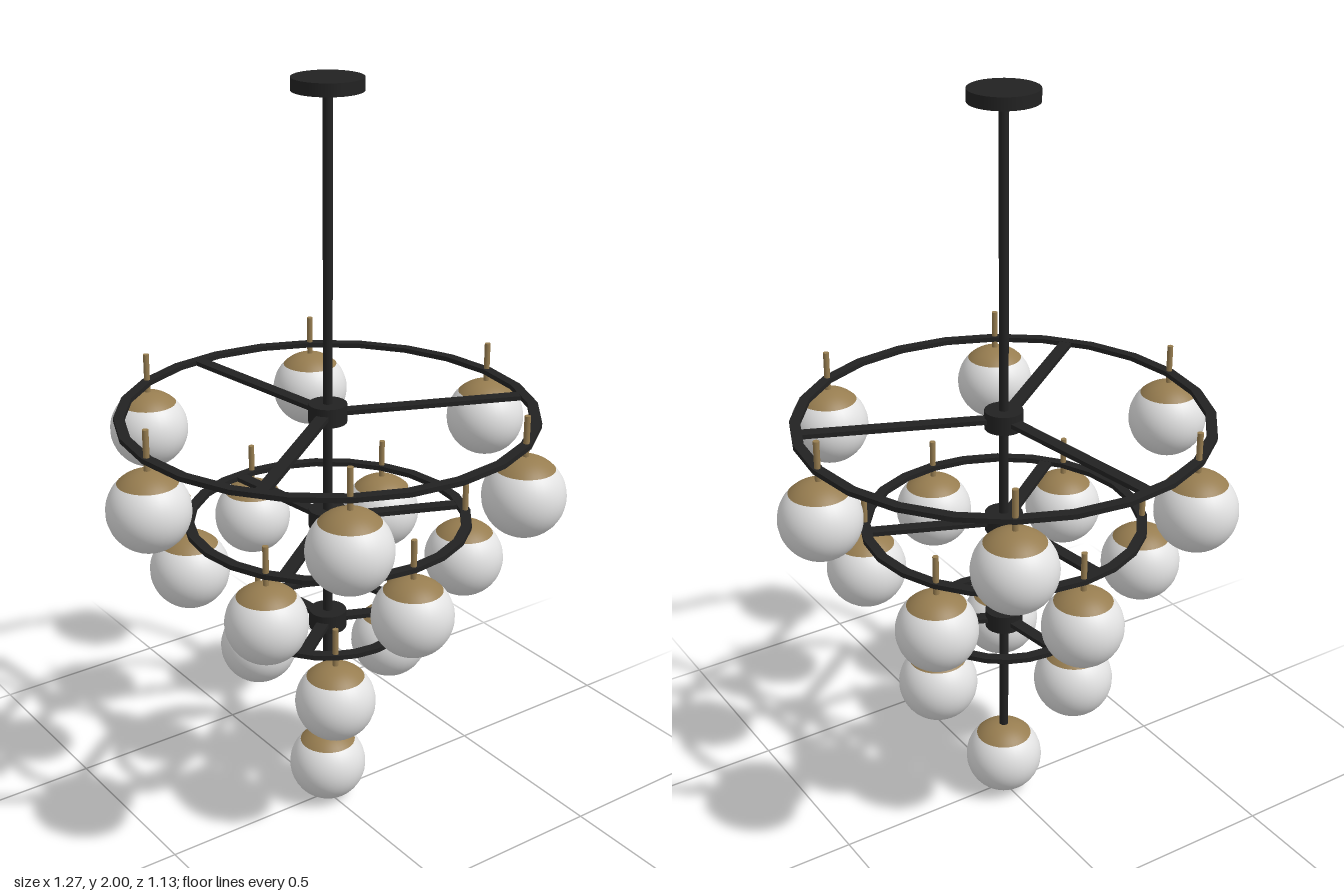
import * as THREE from 'three';
import { toCreasedNormals } from 'three/addons/utils/BufferGeometryUtils.js';

const mat = (name, color) => {
  const m = new THREE.MeshStandardMaterial({ color });
  m.name = name;
  return m;
};

export function createModel() {
  const black = mat('matte black', 0x222222);
  const brass = mat('aged brass', 0x977d50);
  const glass = mat('milk glass', 0xe2e2e2);
  const root = new THREE.Group();
  root.name = 'chandelier';

  const add = (parent, name, geometry, material, x = 0, y = 0, z = 0) => {
    const mesh = new THREE.Mesh(geometry, material);
    mesh.name = name;
    mesh.position.set(x, y, z);
    parent.add(mesh);
    return mesh;
  };

  // Ceiling plate and central rod
  add(root, 'ceilingPlate', new THREE.CylinderGeometry(0.089, 0.089, 0.032, 32), black, 0, 1.984, 0);
  add(root, 'centralRod', new THREE.CylinderGeometry(0.0125, 0.0125, 1.79, 16), black, 0, 1.085, 0);

  // Shared lamp parts: globe with an open top closed by a brass cap, and a thin stem
  const R = 0.105, capAngle = 0.8;
  const globeGeo = new THREE.SphereGeometry(R, 32, 20, 0, Math.PI * 2, capAngle, Math.PI - capAngle);
  const capGeo = new THREE.SphereGeometry(R, 32, 8, 0, Math.PI * 2, 0, capAngle);
  const stemGeo = new THREE.CylinderGeometry(0.008, 0.008, 0.13, 10);

  const addLamp = (x, y, z, hasStem = true) => {
    const lamp = new THREE.Group();
    lamp.name = 'lamp';
    lamp.position.set(x, y, z);
    add(lamp, 'globe', globeGeo, glass);
    add(lamp, 'globeCap', capGeo, brass);
    if (hasStem) add(lamp, 'stem', stemGeo, brass, 0, 0.145, 0);
    root.add(lamp);
  };

  // Flat 24-sided ring of rectangular section
  const ringGeometry = (r) => {
    const w = 0.0135, h = 0.0065;
    const profile = [[r + w, -h], [r + w, h], [r - w, h], [r - w, -h], [r + w, -h]]
      .map(([a, b]) => new THREE.Vector2(a, b));
    return toCreasedNormals(new THREE.LatheGeometry(profile, 24), 0.5);
  };

  // Three tiers: ring, hub, spokes and hanging lamps
  const tiers = [
    { name: 'upperTier', y: 1.152, r: 0.53, count: 6, start: 0 },
    { name: 'middleTier', y: 0.857, r: 0.364, count: 6, start: Math.PI / 6 },
    { name: 'lowerTier', y: 0.56, r: 0.209, count: 3, start: 0 },
  ];
  for (const { name, y, r, count, start } of tiers) {
    const tier = new THREE.Group();
    tier.name = name;
    tier.position.y = y;
    root.add(tier);
    add(tier, 'ring', ringGeometry(r), black);
    add(tier, 'hub', new THREE.CylinderGeometry(0.05, 0.05, 0.05, 20), black);
    for (let i = 0; i < 3; i++) {
      const a = Math.PI / 8 + (i * Math.PI * 2) / 3;
      const spoke = add(tier, 'spoke', new THREE.BoxGeometry(r, 0.012, 0.033), black,
        Math.cos(a) * r / 2, 0, Math.sin(a) * r / 2);
      spoke.rotation.y = -a;
    }
    for (let i = 0; i < count; i++) {
      const a = start + (i * Math.PI * 2) / count;
      addLamp(Math.cos(a) * r, y - 0.132, Math.sin(a) * r);
    }
  }

  // Single lamp at the foot of the rod
  addLamp(0, R, 0, false);
  return root;
}
